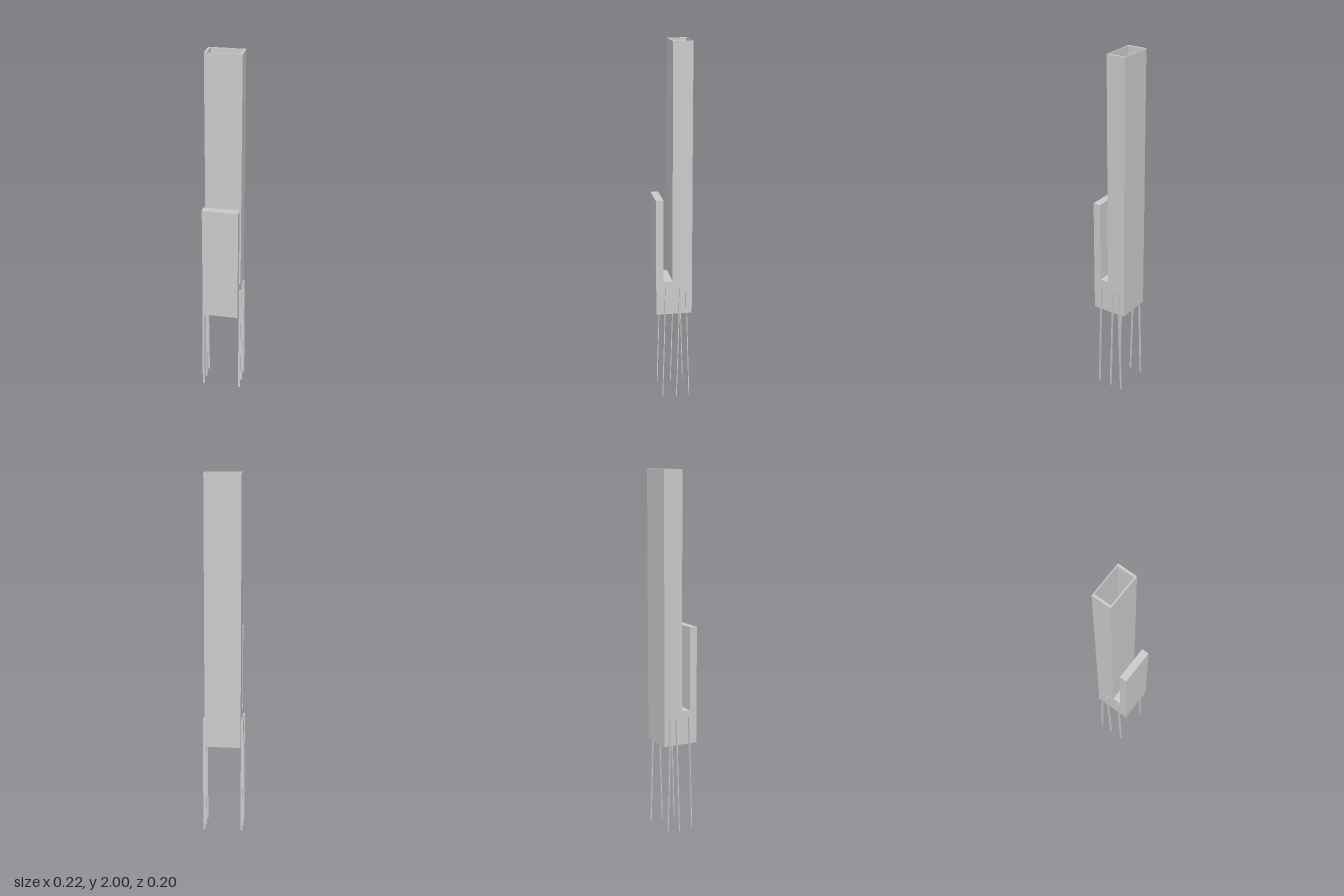
import * as THREE from 'three';

const HALF = 0.1, TOP = 2, BOTTOM = 0.5, SLOT = 0.69, CLIP_TOP = 1.155;
const TOWER_FRONT = 0.008, CLIP_BACK = 0.058;
const HOLE = { x: 0.087, back: -0.095, front: 0.001, floor: SLOT };

const material = new THREE.MeshStandardMaterial({ color: 0xcccccc, flatShading: true });
const inside = new THREE.MeshStandardMaterial({ color: 0xcccccc, flatShading: true, side: THREE.BackSide });

function add(group, name, geometry, mat = material) {
  const mesh = new THREE.Mesh(geometry, mat);
  mesh.name = name;
  group.add(mesh);
  return mesh;
}

// Drops the triangles lying flat at height y, leaving an open top
function openAt(geometry, y) {
  const g = geometry.index ? geometry.toNonIndexed() : geometry;
  const p = g.attributes.position, kept = [];
  for (let i = 0; i < p.count; i += 3) {
    if ([0, 1, 2].every(k => Math.abs(p.getY(i + k) - y) < 1e-4)) continue;
    for (let k = 0; k < 3; k++) kept.push(p.getX(i + k), p.getY(i + k), p.getZ(i + k));
  }
  const out = new THREE.BufferGeometry();
  out.setAttribute('position', new THREE.Float32BufferAttribute(kept, 3));
  out.computeVertexNormals();
  return out;
}

function rectangle(Type, x0, x1, y0, y1) {
  return new Type([[x0, y0], [x1, y0], [x1, y1], [x0, y1]].map(c => new THREE.Vector2(...c)));
}

export function createModel() {
  const model = new THREE.Group();
  model.name = 'slottedTower';

  // Tower, base and front plate share one side profile (z, y)
  const profile = new THREE.Shape([
    [-HALF, BOTTOM], [HALF, BOTTOM], [HALF, CLIP_TOP], [CLIP_BACK, CLIP_TOP],
    [CLIP_BACK, SLOT], [TOWER_FRONT, SLOT], [TOWER_FRONT, TOP], [-HALF, TOP],
  ].map(c => new THREE.Vector2(...c)));
  const body = new THREE.ExtrudeGeometry(profile, { depth: 2 * HALF, bevelEnabled: false });
  body.rotateY(-Math.PI / 2).translate(HALF, 0, 0);
  add(model, 'body', openAt(body, TOP));

  // Thin rim around the tower opening
  const rim = rectangle(THREE.Shape, -HALF, HALF, -TOWER_FRONT, HALF);
  rim.holes.push(rectangle(THREE.Path, -HOLE.x, HOLE.x, -HOLE.front, -HOLE.back));
  add(model, 'rim', new THREE.ShapeGeometry(rim).rotateX(-Math.PI / 2).translate(0, TOP, 0));

  // Inner walls and floor of the hollow tower
  const cavity = new THREE.BoxGeometry(2 * HOLE.x, TOP - HOLE.floor, HOLE.front - HOLE.back);
  cavity.translate(0, (TOP + HOLE.floor) / 2, (HOLE.front + HOLE.back) / 2);
  add(model, 'cavity', openAt(cavity, TOP), inside);

  // Flat slanted strips hanging from both sides: [z at top, z at bottom]
  const strips = [[0.048, 0.067], [-0.031, -0.012], [-0.065, -0.084]];
  const height = 0.655;
  for (const side of [-1, 1]) {
    strips.forEach(([zTop, zBottom], i) => {
      const strip = new THREE.BoxGeometry(0.012, height, 0.005).translate(side * 0.106, height / 2, 0);
      const p = strip.attributes.position;
      for (let k = 0; k < p.count; k++) {
        p.setZ(k, p.getZ(k) + THREE.MathUtils.lerp(zBottom, zTop, p.getY(k) / height));
      }
      strip.computeVertexNormals();
      add(model, `${side > 0 ? 'left' : 'right'}Strip${i + 1}`, strip);
    });
  }
  return model;
}
